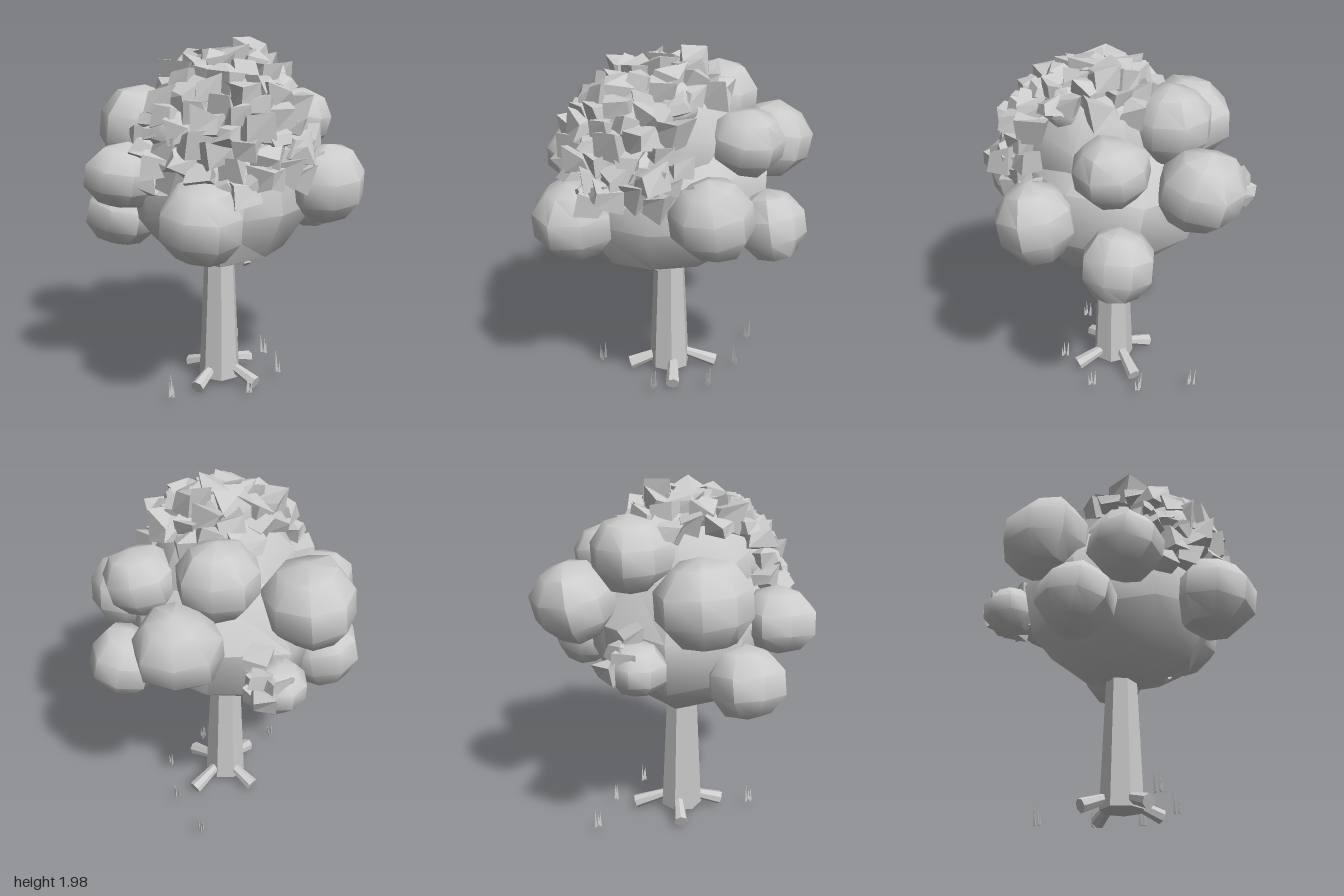
import * as THREE from 'three';
import { toCreasedNormals } from 'three/addons/utils/BufferGeometryUtils.js';

// Small seeded random source
function makeRandom(seed) {
  return () => {
    seed = (seed * 16807) % 2147483647;
    return seed / 2147483647;
  };
}

// Move each vertex by a rule that depends only on its position, so seams stay closed
function warp(geometry, rule) {
  const p = geometry.attributes.position;
  const v = new THREE.Vector3();
  for (let i = 0; i < p.count; i++) {
    rule(v.fromBufferAttribute(p, i));
    p.setXYZ(i, v.x, v.y, v.z);
  }
  return geometry;
}

export function createModel() {
  const tree = new THREE.Group();
  tree.name = 'tree';
  const random = makeRandom(4217);
  const spread = (a) => (random() * 2 - 1) * a;
  const smooth = new THREE.MeshStandardMaterial({ color: 0xcccccc });
  const faceted = new THREE.MeshStandardMaterial({ color: 0xcccccc, flatShading: true, side: THREE.DoubleSide });

  function add(name, geometry, material, x = 0, y = 0, z = 0, parent = tree) {
    const mesh = new THREE.Mesh(geometry, material);
    mesh.name = name;
    mesh.position.set(x, y, z);
    parent.add(mesh);
    return mesh;
  }

  // Rounded low-poly leaf mass with an uneven surface
  function leafBlob(name, x, y, z, rx, ry, rz) {
    const phase = random() * 6;
    const g = warp(new THREE.SphereGeometry(1, 8, 5), (v) => {
      v.multiplyScalar(1 + 0.06 * Math.sin(4 * v.x + phase) * Math.cos(3 * v.z - phase));
    });
    g.rotateY(random() * 3).rotateX(spread(0.2)).rotateZ(spread(0.2)).scale(rx, ry, rz);
    return add(name, toCreasedNormals(g, 0.75), smooth, x, y, z);
  }

  // Trunk: tapered, seven sided
  const trunk = new THREE.CylinderGeometry(0.08, 0.12, 0.88, 7);
  add('trunk', trunk, faceted, 0.015, 0.49, 0.02);

  // Roots: short prisms spreading down and out from the trunk foot
  const up = new THREE.Vector3(0, 1, 0);
  function limb(name, from, to, r0, r1, parent) {
    const a = new THREE.Vector3(...from);
    const d = new THREE.Vector3(...to).sub(a);
    const mesh = add(name, new THREE.CylinderGeometry(r1, r0, d.length(), 7), faceted, 0, 0, 0, parent);
    mesh.position.copy(a).addScaledVector(d, 0.5);
    mesh.quaternion.setFromUnitVectors(up, d.normalize());
  }
  const roots = new THREE.Group();
  roots.name = 'roots';
  tree.add(roots);
  for (const [x, z] of [[0.26, -0.03], [0.07, 0.25], [-0.22, 0.04], [-0.02, -0.25]]) {
    limb('root', [x * 0.2, 0.12, z * 0.2], [x, 0.05, z], 0.025, 0.04, roots);
  }

  // Small branch stubs under the crown
  limb('branchStub', [0.2, 0.9, 0.05], [0.28, 0.8, 0.07], 0.02, 0.025, tree);
  limb('branchStub', [-0.13, 0.9, 0.06], [-0.22, 0.8, 0.08], 0.02, 0.02, tree);

  // Grass: tufts of three thin spikes
  const grass = new THREE.Group();
  grass.name = 'grass';
  tree.add(grass);
  for (const [x, z] of [[0.05, 0.43], [0.31, 0.08], [0.24, -0.24], [0, -0.37], [-0.31, -0.43]]) {
    for (let i = 0; i < 3; i++) {
      const h = 0.12 - i * 0.025;
      const blade = add('grassBlade', new THREE.ConeGeometry(0.009, h, 3), faceted,
        x + (i - 1) * 0.017, 0.05 + h / 2, z + spread(0.02), grass);
      blade.rotation.z = (1 - i) * 0.08;
    }
  }

  // Crown cores
  leafBlob('crownCore', 0.02, 1.2, 0.03, 0.55, 0.46, 0.55);
  leafBlob('upperCrownCore', 0.09, 1.46, 0.05, 0.4, 0.43, 0.42);

  // Outer leaf masses: x, y, z, radius, height radius
  const masses = [
    [-0.27, 1.4, -0.52, 0.24, 0.22],
    [0.19, 1.07, -0.55, 0.2, 0.2],
    [0.18, 1.53, -0.41, 0.21, 0.18],
    [0.54, 1.24, -0.27, 0.22, 0.22],
    [-0.22, 1.65, -0.22, 0.23, 0.21],
    [-0.6, 1.17, -0.14, 0.15, 0.14],
    [-0.48, 1.48, 0.17, 0.26, 0.24],
    [-0.38, 1.03, 0.39, 0.22, 0.2],
    [-0.16, 1.3, 0.55, 0.21, 0.18],
    [0.37, 1.13, 0.48, 0.23, 0.22],
    [0.12, 1.55, 0.4, 0.17, 0.13],
    [0.28, 1.74, -0.04, 0.13, 0.13],
  ];
  for (const [x, y, z, r, h] of masses) leafBlob('leafMass', x, y, z, r, h, r);

  // Leaf chips: small crooked blocks with ragged corners
  const chips = new THREE.Group();
  chips.name = 'leafChips';
  tree.add(chips);
  function chip(x, y, z, size) {
    const a = random() * 6;
    const g = warp(new THREE.BoxGeometry(1, 0.8, 1), (v) => {
      const s = Math.sin(a + v.x * 5 + v.z * 9 + v.y * 3);
      v.y += 0.22 * s;
      v.x *= 1 + 0.25 * Math.cos(a + v.z * 7 + v.y * 4);
      v.z *= 1 + 0.2 * s;
    });
    const mesh = add('leafChip', g, faceted, x, y, z, chips);
    mesh.scale.setScalar(size);
    mesh.rotation.set(spread(0.25), random() * 6, spread(0.25));
  }

  // Chips spiral over the top and the front left of the crown
  const count = 130;
  for (let i = 0; i < count; i++) {
    const dy = 1 - (1.25 * (i + 0.5)) / count;
    const ring = Math.sqrt(1 - dy * dy);
    const dx = ring * Math.cos(i * 2.39996);
    const dz = ring * Math.sin(i * 2.39996);
    if (dy < 0.72 && dx + dz < 0.35) continue;
    chip(0.1 + dx * 0.47, 1.41 + dy * 0.48, 0.06 + dz * 0.47, 0.12 + spread(0.03));
  }
  chip(0.12, 1.92, -0.12, 0.13);

  // Chips on the outer bumps
  for (const [x, y, z] of [[0.6, 1.47, 0.04], [0.58, 1.35, 0.24], [0.5, 1.28, 0.34]]) chip(x, y, z, 0.14);
  for (let i = 0; i < 8; i++) {
    chip(-0.56 + spread(0.09), 1.2 + spread(0.12), -0.22 + spread(0.07), 0.11);
  }

  return tree;
}
